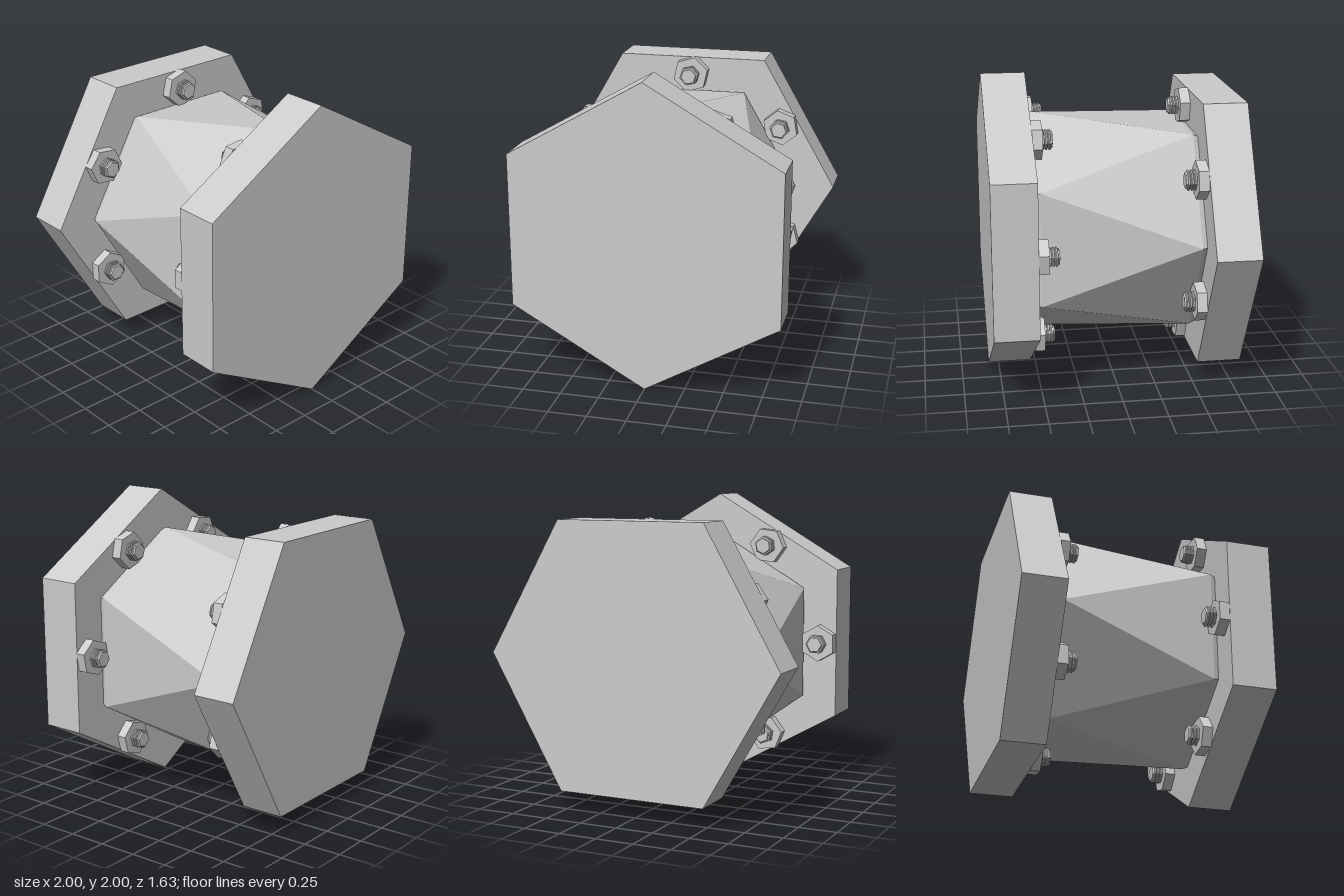
import * as THREE from 'three';

const grey = new THREE.MeshStandardMaterial({ color: 0xcccccc, flatShading: true });
const rad = THREE.MathUtils.degToRad;

function addMesh(parent, name, geometry) {
  const mesh = new THREE.Mesh(geometry, grey);
  mesh.name = name;
  parent.add(mesh);
  return mesh;
}

// Hexagonal end plate lying across z
function addPlate(parent, name, z, turn) {
  const geo = new THREE.CylinderGeometry(1, 1, 0.285, 6, 1, false, turn);
  geo.rotateX(Math.PI / 2);
  addMesh(parent, name, geo).position.z = z;
}

// Twisted hexagonal core: an antiprism with a thin bevel at each end
function coreGeometry() {
  const ring = (radius, z, turn) => Array.from({ length: 6 }, (_, k) => {
    const a = rad(turn + 60 * k);
    return [radius * Math.cos(a), radius * Math.sin(a), z];
  });
  const back = ring(0.72, -0.54, 0), b = ring(0.742, -0.5, 0);
  const a = ring(0.742, 0.5, 30), front = ring(0.72, 0.54, 30);
  const out = [];
  const tri = (...points) => points.forEach(p => out.push(...p));
  for (let k = 0; k < 6; k++) {
    const n = (k + 1) % 6;
    tri(b[k], b[n], a[k]);
    tri(a[k], b[n], a[n]);
    for (const [lo, hi] of [[back, b], [a, front]]) {
      tri(lo[k], lo[n], hi[n]);
      tri(lo[k], hi[n], hi[k]);
    }
  }
  const geo = new THREE.BufferGeometry();
  geo.setAttribute('position', new THREE.Float32BufferAttribute(out, 3));
  geo.computeVertexNormals();
  return geo;
}

// Ridged stud profile, from the plate to the closed tip
function studGeometry() {
  const pts = [[0.056, 0], [0.056, 0.064]];
  for (let i = 0; i < 3; i++) {
    const y = 0.066 + i * 0.021;
    pts.push([0.066, y + 0.003], [0.066, y + 0.012], [0.056, y + 0.015], [0.056, y + 0.019]);
  }
  pts.push([0.052, 0.134], [0, 0.134]);
  return new THREE.LatheGeometry(pts.map(p => new THREE.Vector2(...p)), 6);
}

const nutGeo = new THREE.CylinderGeometry(0.123, 0.123, 0.066, 6).translate(0, 0.033, 0);
const studGeo = studGeometry();

// Circle of bolts on the inner face of a plate; dir is the way they point along z
function addBolts(parent, name, z, dir, angles) {
  const circle = new THREE.Group();
  circle.name = name;
  angles.forEach((deg, i) => {
    const bolt = new THREE.Group();
    bolt.name = 'bolt';
    addMesh(bolt, 'nut', nutGeo).rotation.y = rad(10 + i * 37);
    addMesh(bolt, 'threadedStud', studGeo).rotation.y = rad(20 + i * 23);
    bolt.rotation.x = dir * Math.PI / 2;
    bolt.position.set(0.755 * Math.cos(rad(deg)), 0.755 * Math.sin(rad(deg)), z);
    circle.add(bolt);
  });
  parent.add(circle);
}

export function createModel() {
  const model = new THREE.Group();
  model.name = 'boltedHexCoupling';
  const body = new THREE.Group();
  body.name = 'coupling';
  body.position.y = 1;
  model.add(body);

  addPlate(body, 'frontPlate', 0.675, 0);
  addPlate(body, 'backPlate', -0.675, Math.PI / 6);
  addMesh(body, 'twistedCore', coreGeometry());
  addBolts(body, 'frontBolts', 0.533, -1, [0, 59, 120, 180, 240, 300]);
  addBolts(body, 'backBolts', -0.533, 1, [33.5, 90, 150, 210, 270, 330]);
  return model;
}
